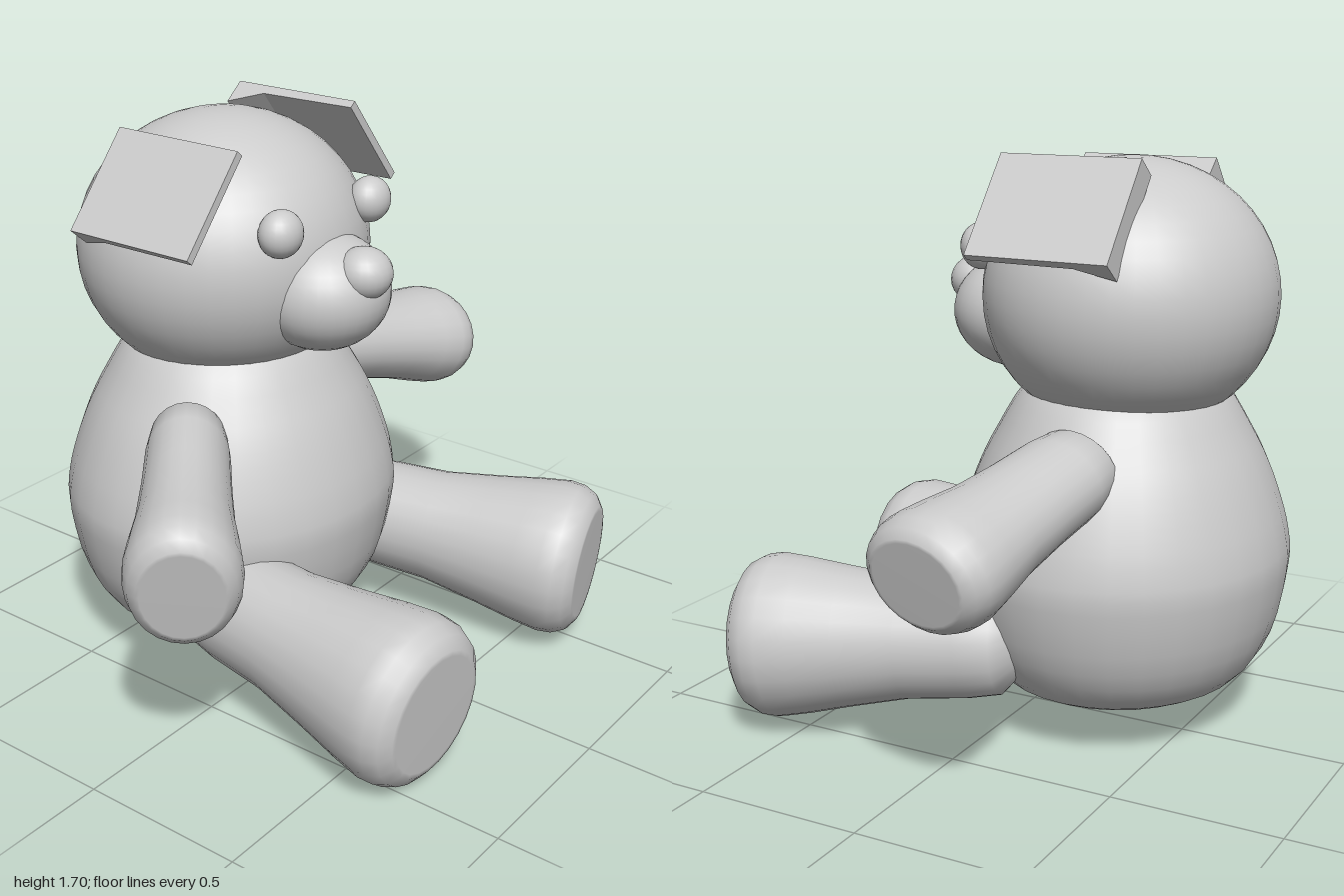
import * as THREE from 'three';

const mat = new THREE.MeshStandardMaterial({ color: 0xcccccc });
const V = (x, y, z) => new THREE.Vector3(x, y, z);

function add(parent, name, geometry) {
  const mesh = new THREE.Mesh(geometry, mat);
  mesh.name = name;
  parent.add(mesh);
  return mesh;
}

function ellipsoid(parent, name, pos, radii, segs = 32) {
  const mesh = add(parent, name, new THREE.SphereGeometry(1, segs, segs * 0.6));
  mesh.position.set(...pos);
  mesh.scale.set(...radii);
  return mesh;
}

// Stuffed limb: rounded root, flared toward a flat padded end.
// wide and tall are the radii of the flared end; root is the relative root radius.
function limb(parent, name, from, to, wide, tall, root) {
  const profile = [
    [0, -0.12], [root * 0.55, -0.09], [root * 0.92, -0.01], [root, 0.12],
    [root + 0.03, 0.35], [0.85, 0.58], [0.95, 0.75], [1, 0.86],
    [0.98, 0.92], [0.9, 0.97], [0.76, 1], [0.7, 1.002], [0, 1.002],
  ].map(([r, t]) => new THREE.Vector2(r, t));
  const mesh = add(parent, name, new THREE.LatheGeometry(profile, 24));
  const axis = to.clone().sub(from);
  const dir = axis.clone().normalize();
  const side = dir.clone().cross(V(0, 1, 0)).normalize();
  const up = side.clone().cross(dir);
  mesh.quaternion.setFromRotationMatrix(new THREE.Matrix4().makeBasis(side, dir, up));
  mesh.position.copy(from);
  mesh.scale.set(wide, axis.length(), tall);
  return mesh;
}

// Flat ear plate that thickens into a wedge at the back, leaning along the head.
// low and high are the ends of its outer face in the front plane.
function ear(parent, name, low, high, sign) {
  const dx = high[0] - low[0], dy = high[1] - low[1];
  const length = Math.hypot(dx, dy);
  const shape = new THREE.Shape();
  [[0, 0], [0, -0.025], [-0.32, -0.03], [-0.43, -0.08], [-0.43, 0]]
    .forEach(([z, d], i) => (i ? shape.lineTo(z, d) : shape.moveTo(z, d)));
  const geometry = new THREE.ExtrudeGeometry(shape, { depth: length, bevelEnabled: false });
  // Local x runs along z, local y points outward, local z runs along the plate
  const along = V(dx / length, dy / length, 0);
  const outward = V(sign * along.y, Math.abs(along.x), 0);
  const start = sign > 0 ? V(low[0], low[1], 0) : V(high[0], high[1], 0);
  const run = sign > 0 ? along : along.clone().negate();
  // Keep the basis right-handed on both sides
  const zAxis = V(0, 0, 1);
  const extrudeDir = zAxis.clone().cross(outward);
  const origin = extrudeDir.dot(run) > 0 ? start : start.clone().addScaledVector(run, length);
  const mesh = add(parent, name, geometry);
  mesh.quaternion.setFromRotationMatrix(new THREE.Matrix4().makeBasis(zAxis, outward, extrudeDir));
  mesh.position.copy(origin);
  return mesh;
}

export function createModel() {
  const bear = new THREE.Group();
  bear.name = 'teddyBear';
  const cx = -0.06;

  // Pear-shaped body
  const bodyProfile = new THREE.SplineCurve([
    [0, 0.13], [0.22, 0.135], [0.36, 0.175], [0.45, 0.31], [0.49, 0.5],
    [0.485, 0.6], [0.46, 0.7], [0.42, 0.81], [0.37, 0.91], [0.29, 1.04], [0.18, 1.12],
  ].map(([r, y]) => new THREE.Vector2(r, y))).getPoints(30);
  bodyProfile[0].x = 0;
  const body = add(bear, 'body', new THREE.LatheGeometry(bodyProfile, 32));
  body.position.set(cx, 0, -0.27);
  body.scale.x = 1.09;

  // Head and face
  const head = new THREE.Group();
  head.name = 'head';
  bear.add(head);
  ellipsoid(head, 'skull', [cx, 1.305, -0.285], [0.445, 0.397, 0.428], 40);
  ellipsoid(head, 'muzzle', [cx, 1.23, 0.08], [0.2, 0.172, 0.2]);
  ellipsoid(head, 'nose', [cx, 1.31, 0.225], [0.084, 0.076, 0.084], 24);
  ellipsoid(head, 'rightEye', [-0.255, 1.447, 0.085], [0.07, 0.068, 0.06], 24);
  ellipsoid(head, 'leftEye', [0.16, 1.447, 0.085], [0.07, 0.068, 0.06], 24);
  ear(head, 'rightEar', [-0.545, 1.43], [-0.33, 1.68], -1);
  ear(head, 'leftEar', [0.41, 1.455], [0.2, 1.715], 1);

  // Arms
  limb(bear, 'leftArm', V(0.3, 0.865, -0.285), V(0.965, 0.715, -0.18), 0.2, 0.165, 0.76);
  limb(bear, 'rightArm', V(-0.43, 0.825, -0.12), V(-0.92, 0.69, 0.285), 0.16, 0.2, 0.76);

  // Legs
  limb(bear, 'leftLeg', V(0.33, 0.33, -0.06), V(0.52, 0.28, 0.69), 0.238, 0.246, 0.7);
  limb(bear, 'rightLeg', V(-0.38, 0.33, -0.06), V(-0.43, 0.258, 0.745), 0.245, 0.256, 0.7);

  return bear;
}
